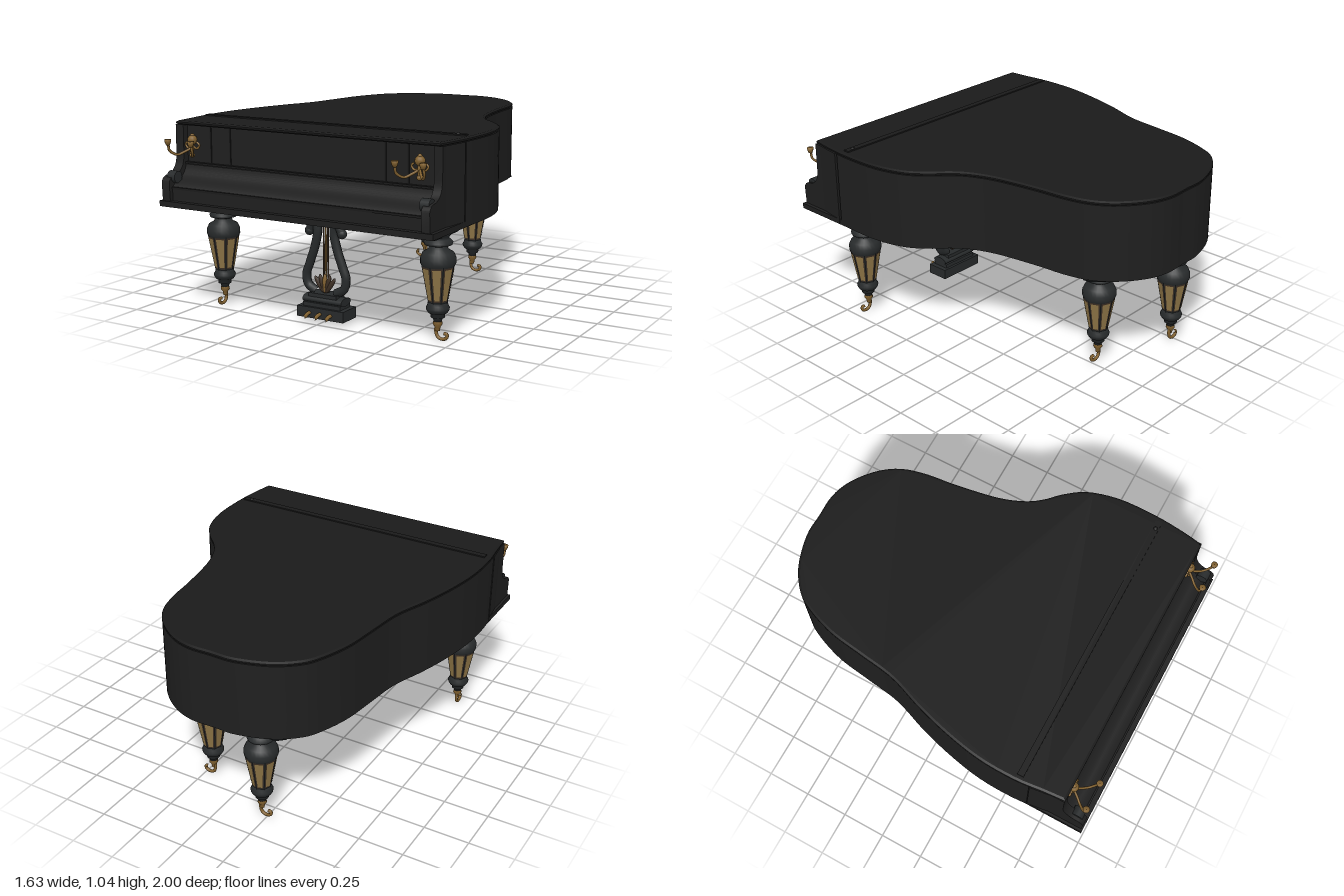
import * as THREE from 'three';
import { toCreasedNormals } from 'three/addons/utils/BufferGeometryUtils.js';

const mat = (name, color, side = THREE.FrontSide) => {
  const m = new THREE.MeshStandardMaterial({ color, side });
  m.name = name;
  return m;
};

export function createModel() {
  const piano = new THREE.Group();
  piano.name = 'grandPiano';
  const black = mat('blackLacquer', 0x1f1f1f);
  const lidBlack = mat('lidBlack', 0x1a1a1a);
  const ebony = mat('turnedEbony', 0x272a2b);
  const gold = mat('gilding', 0x8f7647);
  const brass = mat('agedBrass', 0x80602f);
  const brown = mat('wornBrown', 0x3d2f24);

  const add = (parent, name, geo, m, x = 0, y = 0, z = 0) => {
    const mesh = new THREE.Mesh(geo, m);
    mesh.name = name;
    mesh.position.set(x, y, z);
    parent.add(mesh);
    return mesh;
  };
  const box = (parent, name, m, w, h, d, x, y, z) =>
    add(parent, name, new THREE.BoxGeometry(w, h, d), m, x, y, z);
  const tube = (parent, name, m, pts, r, seg = 24) =>
    add(parent, name, new THREE.TubeGeometry(
      new THREE.CatmullRomCurve3(pts.map(p => new THREE.Vector3(...p))), seg, r, 8), m);
  const lathe = (pts, seg = 24) =>
    new THREE.LatheGeometry(pts.map(p => new THREE.Vector2(...p)), seg);
  const group = (name, x, y, z, parent = piano) => {
    const g = new THREE.Group();
    g.name = name;
    g.position.set(x, y, z);
    parent.add(g);
    return g;
  };

  // Plan outline as x, z pairs, running from the front around the tail
  const plan = [[0.78, 0.87], [0.8, 0.75], [0.815, 0.58], [0.81, 0.37], [0.765, 0.2], [0.69, 0.09],
    [0.61, 0.01], [0.55, -0.08], [0.5, -0.22], [0.46, -0.45], [0.44, -0.62], [0.4, -0.76],
    [0.32, -0.87], [0.2, -0.96], [0.08, -1], [-0.05, -1], [-0.18, -0.998], [-0.35, -0.945], [-0.47, -0.86],
    [-0.53, -0.77], [-0.59, -0.6], [-0.62, -0.4], [-0.65, -0.2], [-0.72, 0], [-0.775, 0.2],
    [-0.81, 0.4], [-0.815, 0.6], [-0.8, 0.75], [-0.79, 0.87]];
  const outline = new THREE.SplineCurve(plan.map(([x, z]) => new THREE.Vector2(x, -z))).getPoints(110);
  const slab = (pts, y, depth, bevel) => {
    const geo = new THREE.ExtrudeGeometry(new THREE.Shape(pts), {
      depth, bevelEnabled: bevel > 0, bevelThickness: bevel * 0.6, bevelSize: bevel,
      bevelOffset: -bevel, bevelSegments: 1, curveSegments: 1 });
    geo.rotateX(-Math.PI / 2).translate(0, y, 0);
    return toCreasedNormals(geo, 0.4);
  };
  add(piano, 'rim', slab(outline.filter(p => -p.y <= 0.7), 0.595, 0.415, 0), black);
  add(piano, 'lid', slab(outline, 1.015, 0.008, 0.012), lidBlack);
  box(piano, 'lidHinge', lidBlack, 1.57, 0.01, 0.035, 0, 1.032, 0.615);
  add(piano, 'lidKnob', new THREE.SphereGeometry(0.012, 12, 8), black, 0.74, 1.032, 0.615);

  // Profiles as z, y pairs, extruded across the width
  const across = (draw, x0, x1) => {
    const s = new THREE.Shape();
    draw(s);
    const geo = new THREE.ExtrudeGeometry(s, { depth: x1 - x0, bevelEnabled: false, curveSegments: 10 });
    geo.rotateY(-Math.PI / 2).translate(x1, 0, 0);
    // Local x has become z
    return toCreasedNormals(geo, 0.5);
  };
  const cheek = s => {
    s.moveTo(0.68, 0.6);
    s.lineTo(0.99, 0.6);
    s.lineTo(0.995, 0.72);
    s.quadraticCurveTo(0.985, 0.755, 0.94, 0.755);
    s.quadraticCurveTo(0.875, 0.77, 0.87, 0.85);
    s.lineTo(0.868, 1.01);
    s.lineTo(0.68, 1.01);
  };
  add(piano, 'leftCheek', across(cheek, 0.745, 0.79), black);
  add(piano, 'rightCheek', across(cheek, -0.795, -0.745), black);
  for (const s of [-1, 1]) {
    // Rounded scroll and outer filler that meets the curved rim
    const scroll = add(piano, 'armScroll', new THREE.CylinderGeometry(0.032, 0.032, 0.05, 20), ebony, s * 0.75, 0.745, 0.945);
    scroll.rotation.z = Math.PI / 2;
    const flank = new THREE.Shape([[0.76, -0.68], [0.812, -0.68], [0.8, -0.77], [0.785, -0.865], [0.76, -0.865]]
      .map(([x, y]) => new THREE.Vector2(s * x, y)));
    const g = new THREE.ExtrudeGeometry(flank, { depth: 0.41, bevelEnabled: false });
    add(piano, 'cheekFlank', g.rotateX(-Math.PI / 2).translate(0, 0.6, 0), black);
  }
  const fall = s => {
    s.moveTo(0.6, 0.62);
    s.lineTo(0.97, 0.62);
    s.lineTo(0.97, 0.69);
    s.quadraticCurveTo(0.95, 0.72, 0.91, 0.73);
    s.quadraticCurveTo(0.865, 0.75, 0.855, 0.8);
    s.lineTo(0.835, 0.81);
    s.lineTo(0.835, 1.01);
    s.lineTo(0.6, 1.01);
  };
  add(piano, 'fallboard', across(fall, -0.75, 0.75), black);
  box(piano, 'keyBed', black, 1.62, 0.03, 0.42, 0, 0.607, 0.79);
  box(piano, 'keySlip', lidBlack, 1.5, 0.012, 0.02, 0, 0.69, 0.965);
  box(piano, 'fallboardMoulding', lidBlack, 1.5, 0.01, 0.02, 0, 0.808, 0.848);
  for (const x of [-0.59, -0.465, 0.465, 0.59])
    box(piano, 'panelMoulding', lidBlack, 0.008, 0.19, 0.006, x, 0.91, 0.837);

  // Turned legs with faceted gilded tapers
  const capGeo = lathe([[0, 0.47], [0.045, 0.47], [0.045, 0.485], [0.07, 0.492], [0.074, 0.505],
    [0.06, 0.52], [0.05, 0.525], [0.06, 0.54], [0.07, 0.55], [0.07, 0.6]]);
  const vaseGeo = lathe([[0.083, 0.385], [0.09, 0.4], [0.09, 0.425], [0.078, 0.452], [0.05, 0.468], [0.045, 0.49]]);
  const footGeo = lathe([[0, 0.095], [0.02, 0.095], [0.024, 0.115], [0.035, 0.12], [0.037, 0.14],
    [0.048, 0.145], [0.058, 0.16], [0.06, 0.172], [0.052, 0.185], [0.05, 0.2], [0, 0.2]]);
  const taperGeo = new THREE.CylinderGeometry(0.087, 0.05, 0.2, 8).toNonIndexed();
  taperGeo.computeVertexNormals();
  const trapezoid = (k, h) => new THREE.ShapeGeometry(new THREE.Shape(
    [[-0.019 * k, -h], [0.019 * k, -h], [0.033 * k, h], [-0.033 * k, h]].map(p => new THREE.Vector2(...p))));
  const brownPanel = trapezoid(0.85, 0.09), goldPanel = trapezoid(0.66, 0.082);
  const plateGeo = (w, d) => {
    const g = new THREE.CylinderGeometry(0.707, 0.4, 0.06, 4).toNonIndexed();
    g.rotateY(Math.PI / 4).scale(w, 1, d);
    g.computeVertexNormals();
    return g;
  };
  const legs = [
    ['frontLeftLeg', 0.66, 0.66, 0, 0.15, 0.43, 0],
    ['frontRightLeg', -0.66, 0.66, -Math.PI / 2, 0.15, 0.43, 0],
    ['rearLeftLeg', 0.2, -0.66, 0, 0.42, 0.2, 0.75],
    ['rearRightLeg', -0.22, -0.83, Math.PI, 0.4, 0.16, 0]];
  for (const [name, x, z, turn, w, d, skew] of legs) {
    const leg = group(name, x, 0, z);
    add(leg, 'mountingPlate', plateGeo(w, d), ebony, 0, 0.565, 0).rotation.y = skew;
    add(leg, 'collar', capGeo, ebony);
    add(leg, 'vase', vaseGeo, ebony);
    add(leg, 'taper', taperGeo, ebony, 0, 0.295, 0);
    add(leg, 'foot', footGeo, ebony);
    for (let i = 0; i < 8; i++) {
      const face = group('taperPanel', 0, 0.295, 0, leg);
      face.rotation.y = (i + 0.5) * Math.PI / 4;
      add(face, 'panelGround', brownPanel, brown, 0, 0, 0.0645).rotation.x = 0.17;
      add(face, 'panelGilding', goldPanel, gold, 0, 0, 0.0665).rotation.x = 0.17;
    }
    const caster = group('caster', 0, 0, 0, leg);
    caster.rotation.y = turn;
    add(caster, 'ferrule', lathe([[0.011, 0.05], [0.014, 0.07], [0.025, 0.085], [0.022, 0.1]], 12), brass);
    tube(caster, 'curl', brass, [[-0.005, 0.09, 0], [-0.01, 0.05, 0], [0, 0.02, 0], [0.025, 0.01, 0],
      [0.05, 0.02, 0], [0.052, 0.038, 0], [0.036, 0.04, 0]], 0.009);
  }

  // Pedal lyre
  const lyre = group('pedalLyre', -0.01, 0, 0.64);
  box(lyre, 'base', ebony, 0.285, 0.058, 0.13, 0, 0.047, 0);
  box(lyre, 'baseStep', ebony, 0.23, 0.025, 0.1, 0, 0.085, 0);
  const roll = add(lyre, 'baseRoll', new THREE.CylinderGeometry(0.022, 0.022, 0.24, 16), ebony, 0, 0.112, 0);
  roll.rotation.z = Math.PI / 2;
  roll.scale.z = 2.2;
  box(lyre, 'baseTop', ebony, 0.17, 0.02, 0.08, 0, 0.137, 0);
  add(lyre, 'topBlock', plateGeo(0.2, 0.2), ebony, 0, 0.565, 0);
  for (const s of [-1, 1]) {
    tube(lyre, 'arm', ebony, [[s * 0.1, 0.47, 0], [s * 0.088, 0.5, 0], [s * 0.062, 0.53, 0], [s * 0.05, 0.48, 0],
      [s * 0.068, 0.39, 0], [s * 0.1, 0.3, 0], [s * 0.122, 0.235, 0], [s * 0.11, 0.18, 0],
      [s * 0.06, 0.15, 0]], 0.024, 40);
    add(lyre, 'armScroll', new THREE.SphereGeometry(0.026, 14, 10), ebony, s * 0.1, 0.472, 0);
  }
  for (const x of [-0.013, 0, 0.013])
    add(lyre, 'pedalRod', new THREE.CylinderGeometry(0.005, 0.005, 0.44, 8), x ? brown : brass, x, 0.37, 0);
  for (const a of [-0.6, -0.3, 0, 0.3, 0.6]) {
    const leaf = add(lyre, 'fanLeaf', new THREE.SphereGeometry(1, 10, 8), a ? brown : brass,
      Math.sin(a) * 0.06, 0.15 + Math.cos(a) * 0.05, 0.012);
    leaf.scale.set(0.014, 0.052, 0.012);
    leaf.rotation.z = -a;
  }
  for (const x of [-0.065, 0, 0.065])
    tube(lyre, 'pedal', brass, [[x, 0.045, 0.05], [x, 0.045, 0.08], [x, 0.036, 0.105], [x, 0.036, 0.125]], 0.01, 10);

  // Candle brackets
  for (const s of [-1, 1]) {
    const bracket = group(s > 0 ? 'leftCandleBracket' : 'rightCandleBracket', s > 0 ? 0.67 : -0.685, 0, 0.84);
    add(bracket, 'rosette', new THREE.SphereGeometry(0.026, 14, 10), brass, 0, 0.935, 0.03);
    add(bracket, 'finial', new THREE.SphereGeometry(0.012, 10, 8), brass, 0, 0.957, 0.03);
    add(bracket, 'drop', new THREE.SphereGeometry(0.014, 10, 8), brass, 0, 0.855, 0.035);
    tube(bracket, 'stem', brass, [[0, 0.935, 0.02], [0, 0.9, 0.035], [0, 0.855, 0.035]], 0.01, 12);
    for (const k of [-1, 1]) {
      tube(bracket, 'arm', brass, [[0, 0.895, 0.03], [k * 0.025, 0.875, 0.065], [k * 0.05, 0.862, 0.095],
        [k * 0.075, 0.885, 0.125], [k * 0.075, 0.92, 0.135]], 0.007);
      add(bracket, 'cup', lathe([[0, 0], [0.01, 0], [0.016, 0.015], [0.018, 0.03], [0, 0.03]], 12), brass,
        k * 0.075, 0.915, 0.137);
      tube(bracket, 'leafScroll', brass, [[0, 0.9, 0.025], [k * 0.03, 0.89, 0.03], [k * 0.045, 0.91, 0.03],
        [k * 0.03, 0.925, 0.03]], 0.006, 14);
    }
  }
  return piano;
}
